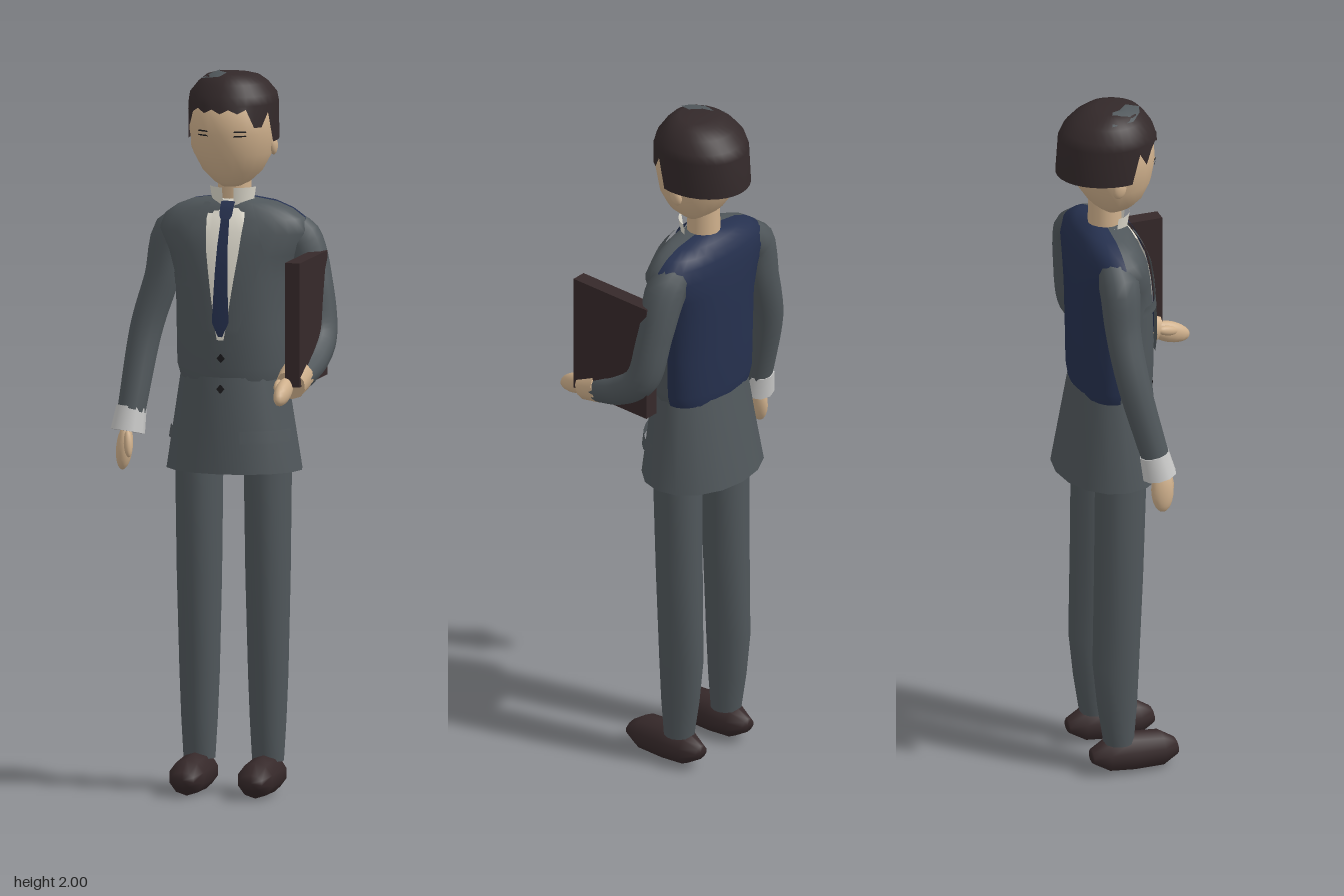
import * as THREE from 'three';

const CX = 0.02; // body centre line
const mat = (name, color, side = THREE.FrontSide) => {
  const m = new THREE.MeshStandardMaterial({ color, side });
  m.name = name;
  return m;
};
const D = THREE.DoubleSide;

// Stack of rounded sections [y, halfWidth, zFront, zBack], lowest first
function loft(sections, { cx = 0, zc = 0, sides = 16, start = 0, length = Math.PI * 2, power = 1, caps = false }) {
  const closed = length > 6.28, n = closed ? sides : sides + 1, pos = [], idx = [];
  const bend = (v) => Math.sign(v) * Math.abs(v) ** power;
  for (const [y, rx, zf, zb] of sections) {
    for (let j = 0; j < n; j++) {
      const t = start + (j / sides) * length, c = bend(Math.cos(t));
      pos.push(cx + rx * bend(Math.sin(t)), y, zc + c * (c > 0 ? zf - zc : zc - zb));
    }
  }
  const last = (sections.length - 1) * n;
  for (let i = 0; i < sections.length - 1; i++) {
    for (let j = 0; j < sides; j++) {
      const a = i * n + j, b = i * n + ((j + 1) % n);
      idx.push(a, b, a + n, b, b + n, a + n);
    }
  }
  if (caps) {
    for (const [s, base, up] of [[sections[0], 0, false], [sections.at(-1), last, true]]) {
      const c = pos.length / 3;
      pos.push(cx, s[0], (s[2] + s[3]) / 2);
      for (let j = 0; j < sides; j++) {
        const a = base + j, b = base + ((j + 1) % n);
        idx.push(c, up ? a : b, up ? b : a);
      }
    }
  }
  const g = new THREE.BufferGeometry();
  g.setAttribute('position', new THREE.Float32BufferAttribute(pos, 3));
  g.setIndex(idx);
  g.computeVertexNormals();
  return g;
}

// Front surface depth of a loft at offset dx and height y
function frontZ(sections, zc, power, dx, y) {
  let i = 0;
  while (i < sections.length - 2 && y > sections[i + 1][0]) i++;
  const a = sections[i], b = sections[i + 1];
  const t = THREE.MathUtils.clamp((y - a[0]) / (b[0] - a[0]), 0, 1);
  const rx = a[1] + (b[1] - a[1]) * t, zf = a[2] + (b[2] - a[2]) * t;
  const q = Math.min(Math.abs(dx) / rx, 0.99), e = 2 / power;
  return zc + (zf - zc) * (1 - q ** e) ** (1 / e);
}

// Thin cloth panel lying on a loft; rows are [y, x0, x1] from the bottom up
function panel(rows, lift, sections, zc, power) {
  const pos = [], idx = [], cols = 6, sub = 4, total = (rows.length - 1) * sub;
  for (let i = 0; i <= total; i++) {
    const k = Math.min(Math.floor(i / sub), rows.length - 2), t = i / sub - k;
    const [y, x0, x1] = rows[k].map((v, m) => v + (rows[k + 1][m] - v) * t);
    for (let j = 0; j <= cols; j++) {
      const x = x0 + ((x1 - x0) * j) / cols;
      pos.push(CX + x, y, frontZ(sections, zc, power, x, y) + lift);
      if (i < total && j < cols) {
        const a = i * (cols + 1) + j, c = a + cols + 1;
        idx.push(a, a + 1, c, a + 1, c + 1, c);
      }
    }
  }
  const g = new THREE.BufferGeometry();
  g.setAttribute('position', new THREE.Float32BufferAttribute(pos, 3));
  g.setIndex(idx);
  g.computeVertexNormals();
  return g;
}

// Tapered tube through points [x, y, z, radius]
function limb(points, seg = 20, sides = 12) {
  const curve = new THREE.CatmullRomCurve3(points.map((p) => new THREE.Vector3(p[0], p[1], p[2])));
  const g = new THREE.TubeGeometry(curve, seg, 1, sides), p = g.attributes.position, v = new THREE.Vector3();
  for (let i = 0; i <= seg; i++) {
    const c = curve.getPointAt(i / seg), t = curve.getUtoTmapping(i / seg) * (points.length - 1);
    const k = Math.min(Math.floor(t), points.length - 2);
    const r = THREE.MathUtils.lerp(points[k][3], points[k + 1][3], t - k);
    for (let j = 0; j <= sides; j++) {
      const n = i * (sides + 1) + j;
      v.fromBufferAttribute(p, n).sub(c).multiplyScalar(r).add(c);
      p.setXYZ(n, v.x, v.y, v.z);
    }
  }
  return g;
}

export function createModel() {
  const root = new THREE.Group();
  const suit = mat('suit grey', 0x50575b, D), navy = mat('navy', 0x26314f, D), skin = mat('skin', 0xcfb08c);
  const hairMat = mat('hair brown', 0x33292a, D), shirt = mat('shirt white', 0xe0dccf, D);
  const cuffMat = mat('cuff white', 0xc9c9c8), leather = mat('leather brown', 0x36292a), dark = mat('dark line', 0x1c1b1d, D);
  const add = (name, geo, material, pos = [0, 0, 0], rot = [0, 0, 0], scale = [1, 1, 1]) => {
    const m = new THREE.Mesh(geo, material);
    m.name = name;
    m.position.set(...pos);
    m.rotation.set(...rot);
    m.scale.set(...scale);
    root.add(m);
    return m;
  };
  const ball = new THREE.SphereGeometry(1, 16, 12);

  // Jacket body: grey front, navy back
  const torso = [[1.155, 0.15, 0.03, -0.18], [1.19, 0.16, 0.034, -0.185], [1.3, 0.162, 0.036, -0.187], [1.43, 0.165, 0.03, -0.19],
    [1.5, 0.185, 0.02, -0.19], [1.56, 0.215, 0.005, -0.188], [1.6, 0.2, -0.012, -0.182], [1.625, 0.165, -0.025, -0.172],
    [1.643, 0.12, -0.037, -0.158], [1.655, 0.04, -0.055, -0.135]];
  const half = { cx: CX, zc: -0.1, sides: 14, length: Math.PI, power: 0.88 };
  add('jacketFront', loft(torso, { ...half, start: -Math.PI / 2 }), suit);
  add('jacketBack', loft(torso, { ...half, start: Math.PI / 2 }), navy);
  const skirt = [[0.9, 0.193, 0.06, -0.235], [1.165, 0.152, 0.035, -0.187]];
  add('jacketSkirt', loft(skirt, { cx: CX, zc: -0.09, sides: 16 }), suit);
  const onChest = (name, rows, lift, m) => add(name, panel(rows, lift, torso, -0.1, 0.88), m);
  const onSkirt = (name, rows, lift, m) => add(name, panel(rows, lift, skirt, -0.09, 1), m);

  // Shirt, tie, lapels, pockets and buttons
  onChest('shirtFront', [[1.27, -0.012, 0.012], [1.48, -0.055, 0.055], [1.652, -0.06, 0.06]], 0.005, shirt);
  onChest('tie', [[1.28, -0.006, 0.006], [1.32, -0.024, 0.024], [1.6, -0.012, 0.012], [1.61, -0.018, 0.018], [1.648, -0.02, 0.02]], 0.013, navy);
  for (const s of [-1, 1]) {
    const flip = (rows) => rows.map(([y, a, b]) => (s > 0 ? [y, a, b] : [y, -b, -a]));
    onChest('lapel', flip([[1.24, 0.004, 0.03], [1.3, 0.015, 0.052], [1.51, 0.046, 0.115], [1.6, 0.054, 0.09], [1.643, 0.05, 0.068]]), 0.012, suit);
    onSkirt('hipPocket', flip([[0.985, 0.058, 0.174], [1.02, 0.058, 0.172]]), 0.012, suit);
    add('collar', new THREE.CylinderGeometry(0.068, 0.06, 0.05, 8, 1, true, s > 0 ? 0.25 : -1.35, 1.1), shirt, [CX, 1.66, -0.09]);
  }
  onChest('breastPocket', [[1.412, -0.155, -0.09], [1.445, -0.155, -0.09]], 0.012, suit);
  const diamond = (y) => [[y - 0.012, -0.001, 0.001], [y, -0.012, 0.012], [y + 0.012, -0.001, 0.001]];
  onChest('button', diamond(1.22), 0.008, dark);
  onSkirt('button', diamond(1.135), 0.008, dark);

  // Hips, legs and shoes
  add('hips', ball, skin, [CX, 1.0, -0.09], [0, 0, 0], [0.13, 0.09, 0.08]);
  const leg = [[0.09, 0.044, -0.045, -0.13], [0.2, 0.05, -0.036, -0.148], [0.33, 0.055, -0.03, -0.162],
    [0.6, 0.062, -0.018, -0.156], [0.9, 0.066, -0.008, -0.152], [1.0, 0.066, -0.01, -0.152]];
  const shoe = [[-0.165, 0.025, -0.035, -0.075], [-0.12, 0.045, -0.006, -0.1], [-0.05, 0.052, 0, -0.11],
    [0.035, 0.052, 0, -0.1], [0.078, 0.034, -0.025, -0.07]];
  for (const x of [-0.08, 0.117]) {
    add('trouserLeg', loft(leg, { cx: x, zc: -0.087, sides: 14 }), suit);
    add('shoe', loft(shoe, { cx: x, zc: -0.05, sides: 10, caps: true }).rotateX(Math.PI / 2), leather);
  }

  // Right arm hanging down
  add('rightSleeve', limb([[-0.12, 1.58, -0.115, 0.045], [-0.165, 1.54, -0.115, 0.058], [-0.195, 1.42, -0.115, 0.05],
    [-0.235, 1.28, -0.1, 0.047], [-0.263, 1.05, -0.045, 0.04]]), suit);
  add('rightCuff', new THREE.CylinderGeometry(0.042, 0.048, 0.068, 10), cuffMat, [-0.267, 1.028, -0.042], [-0.2, 0, -0.1]);
  add('rightHand', ball, skin, [-0.278, 0.952, -0.03], [0, 0, -0.1], [0.022, 0.064, 0.032]);
  add('rightThumb', ball, skin, [-0.26, 0.965, -0.005], [-0.2, 0, 0.1], [0.012, 0.038, 0.014]);

  // Left arm bent forward around the folder
  add('leftSleeve', limb([[0.16, 1.58, -0.115, 0.045], [0.205, 1.54, -0.115, 0.058], [0.245, 1.42, -0.11, 0.05],
    [0.268, 1.28, -0.085, 0.047], [0.267, 1.22, -0.015, 0.045], [0.255, 1.18, 0.085, 0.04]], 28), suit);
  add('leftCuff', new THREE.CylinderGeometry(0.042, 0.048, 0.065, 10), skin, [0.25, 1.178, 0.108], [Math.PI / 2 + 0.3, 0, 0]);
  add('leftHand', ball, skin, [0.24, 1.155, 0.175], [0.35, 0, 0], [0.022, 0.03, 0.064]);
  add('leftThumb', ball, skin, [0.222, 1.168, 0.165], [0.3, 0.2, 0], [0.012, 0.014, 0.035]);
  add('folder', new THREE.BoxGeometry(0.042, 0.345, 0.265), leather, [0.26, 1.338, 0.023]);

  // Neck, head and ears
  add('neck', new THREE.CylinderGeometry(0.045, 0.048, 0.14, 14), skin, [CX, 1.67, -0.092]);
  const head = [[1.688, 0.03, -0.025, -0.1], [1.7, 0.05, -0.008, -0.115], [1.73, 0.083, 0.016, -0.142], [1.78, 0.11, 0.037, -0.175],
    [1.84, 0.12, 0.048, -0.195], [1.9, 0.119, 0.044, -0.198], [1.95, 0.09, 0.01, -0.17]];
  add('head', loft(head, { cx: CX, zc: -0.08, sides: 20, caps: true }), skin);
  for (const s of [-1, 1]) {
    add('ear', ball, skin, [CX + s * 0.112, 1.8, -0.088], [0.2, 0, 0], [0.012, 0.027, 0.019]);
    for (const y of [1.838, 1.85]) {
      const rows = [[y - 0.002, s * 0.053 - 0.017, s * 0.053 + 0.017], [y + 0.002, s * 0.053 - 0.014, s * 0.053 + 0.014]];
      add('eyeLine', panel(rows, 0.003, head, -0.08, 1), dark);
    }
  }

  // Hair cap with an uneven lower edge
  const sides = 32;
  const hairGeo = loft([[1.82, 0.124, 0.054, -0.23], [1.92, 0.1235, 0.05, -0.222], [1.945, 0.12, 0.042, -0.207], [1.975, 0.096, 0.022, -0.178],
    [1.993, 0.074, 0.005, -0.14], [2.0, 0.05, -0.015, -0.11]], { cx: CX, zc: -0.08, sides, caps: true });
  hairGeo.setIndex(Array.from(hairGeo.index.array).filter((_, i, a) => {
    const base = hairGeo.attributes.position.count - 2, k = i - (i % 3);
    return a[k] !== base; // leave the underside open
  }));
  for (let j = 0; j < sides; j++) {
    const t = Math.min(j, sides - j);
    const y = t >= 7 ? 1.815 : t === 5 || (t === 4 && j < 16) ? 1.86 : 1.9 + (j % 2) * 0.012;
    hairGeo.attributes.position.setY(j, y);
  }
  hairGeo.computeVertexNormals();
  const hair = add('hair', hairGeo, hairMat);

  // Grey patch on the crown, laid over the hair
  const ray = new THREE.Raycaster(), down = new THREE.Vector3(0, -1, 0), pts = [];
  for (const [x, z] of [[-0.025, -0.045], [-0.067, -0.1], [-0.02, -0.083], [-0.013, -0.06], [0.015, -0.033], [0.005, 0.003], [-0.023, -0.005], [-0.057, -0.035]]) {
    ray.set(new THREE.Vector3(x, 3, z), down);
    const hit = ray.intersectObject(hair)[0];
    pts.push(x, (hit ? hit.point.y : 1.97) + 0.004, z);
  }
  const patch = new THREE.BufferGeometry();
  patch.setAttribute('position', new THREE.Float32BufferAttribute(pts, 3));
  patch.setIndex([1, 2, 3, 4, 5, 6, 7].flatMap((k) => [0, (k % 7) + 1, k]));
  patch.computeVertexNormals();
  add('hairPatch', patch, suit);
  return root;
}
